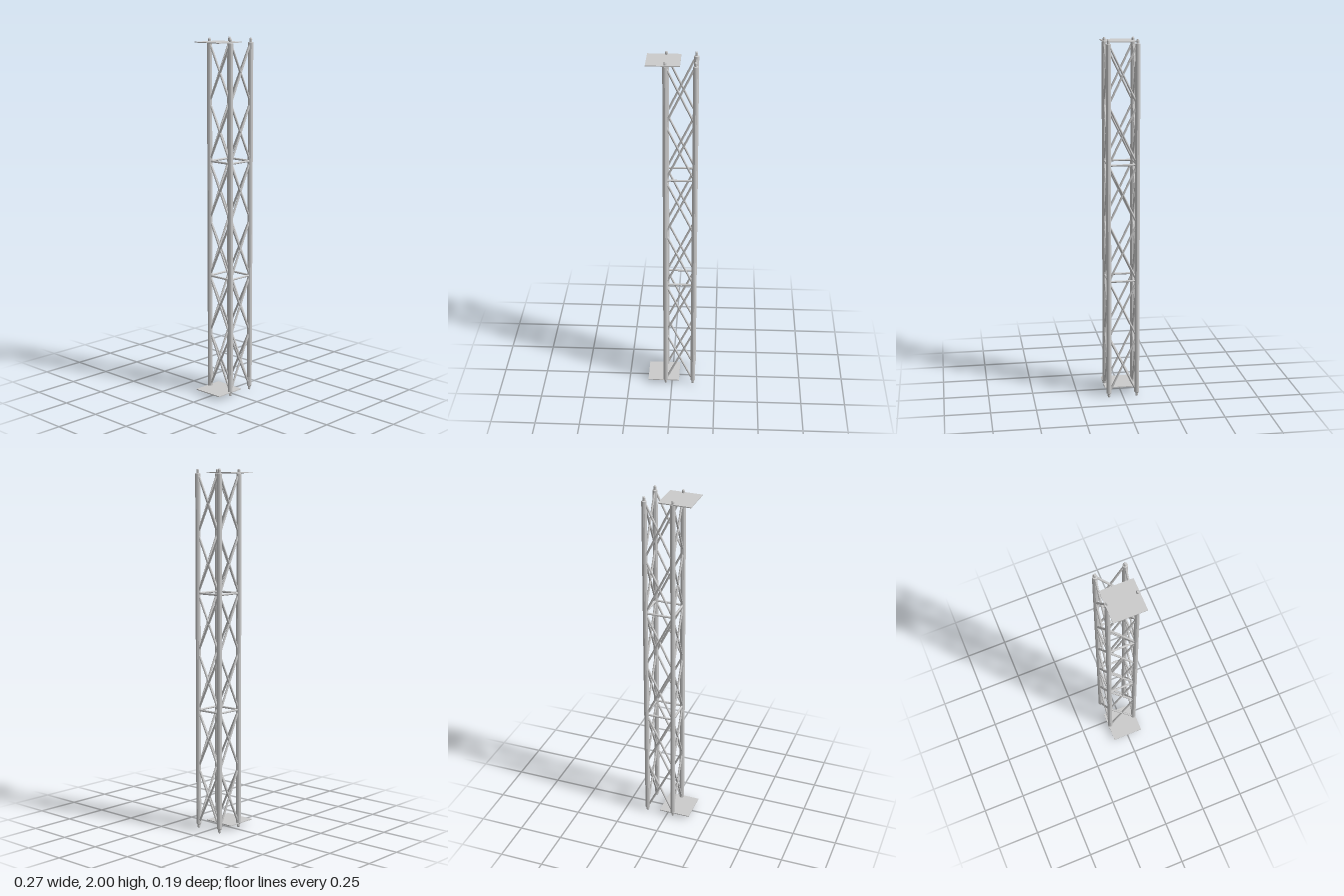
import * as THREE from 'three';

const material = new THREE.MeshStandardMaterial({ color: 0xcccccc, flatShading: true });
const LEG_X = [-0.036, 0.122];
const LEG_Z = [-0.079, 0.079];
const BASE = 0.024, TOP = 1.978, BAYS = 6;
const BAY = (TOP - BASE) / BAYS;

function add(group, name, geometry) {
  const mesh = new THREE.Mesh(geometry, material);
  mesh.name = name;
  group.add(mesh);
  return mesh;
}

// Round bar between two points
function bar(group, name, a, b, radius) {
  const dir = b.clone().sub(a);
  const mesh = add(group, name, new THREE.CylinderGeometry(radius, radius, dir.length(), 8));
  mesh.position.copy(a).add(b).multiplyScalar(0.5);
  mesh.quaternion.setFromUnitVectors(new THREE.Vector3(0, 1, 0), dir.normalize());
}

export function createModel() {
  const model = new THREE.Group();
  model.name = 'latticeTower';

  // Upright tubes with a narrow chamfered pin at each end
  const profile = [
    [0, 0], [0.005, 0], [0.008, 0.006], [0.008, 0.018], [0.014, BASE],
    [0.014, TOP - 0.002], [0.008, TOP], [0.008, 1.994], [0.005, 2], [0, 2],
  ].map(([r, y]) => new THREE.Vector2(r, y));
  for (const x of LEG_X) {
    for (const z of LEG_Z) {
      add(model, 'upright', new THREE.LatheGeometry(profile, 10)).position.set(x, 0, z);
    }
  }

  // Four lattice sides: crossed braces in every bay, a rung every second bay
  const [x0, x1] = LEG_X, [z0, z1] = LEG_Z;
  const sides = [
    ['frontLattice', x0, z1, x1, z1],
    ['backLattice', x0, z0, x1, z0],
    ['rightLattice', x0, z0, x0, z1],
    ['leftLattice', x1, z0, x1, z1],
  ];
  for (const [name, ax, az, bx, bz] of sides) {
    const side = new THREE.Group();
    side.name = name;
    model.add(side);
    const a = (y) => new THREE.Vector3(ax, y, az);
    const b = (y) => new THREE.Vector3(bx, y, bz);
    for (let i = 0; i < BAYS; i++) {
      const low = BASE + i * BAY, high = low + BAY;
      bar(side, 'diagonalBrace', a(low), b(high), 0.006);
      bar(side, 'diagonalBrace', a(high), b(low), 0.006);
      if (i > 0 && i % 2 === 0) bar(side, 'rung', a(low), b(low), 0.006);
    }
  }

  // Thin end plates, offset to the right
  for (const [name, y] of [['bottomPlate', BASE], ['topPlate', TOP + 0.002]]) {
    add(model, name, new THREE.BoxGeometry(0.18, 0.005, 0.18)).position.set(-0.048, y, 0);
  }
  return model;
}
